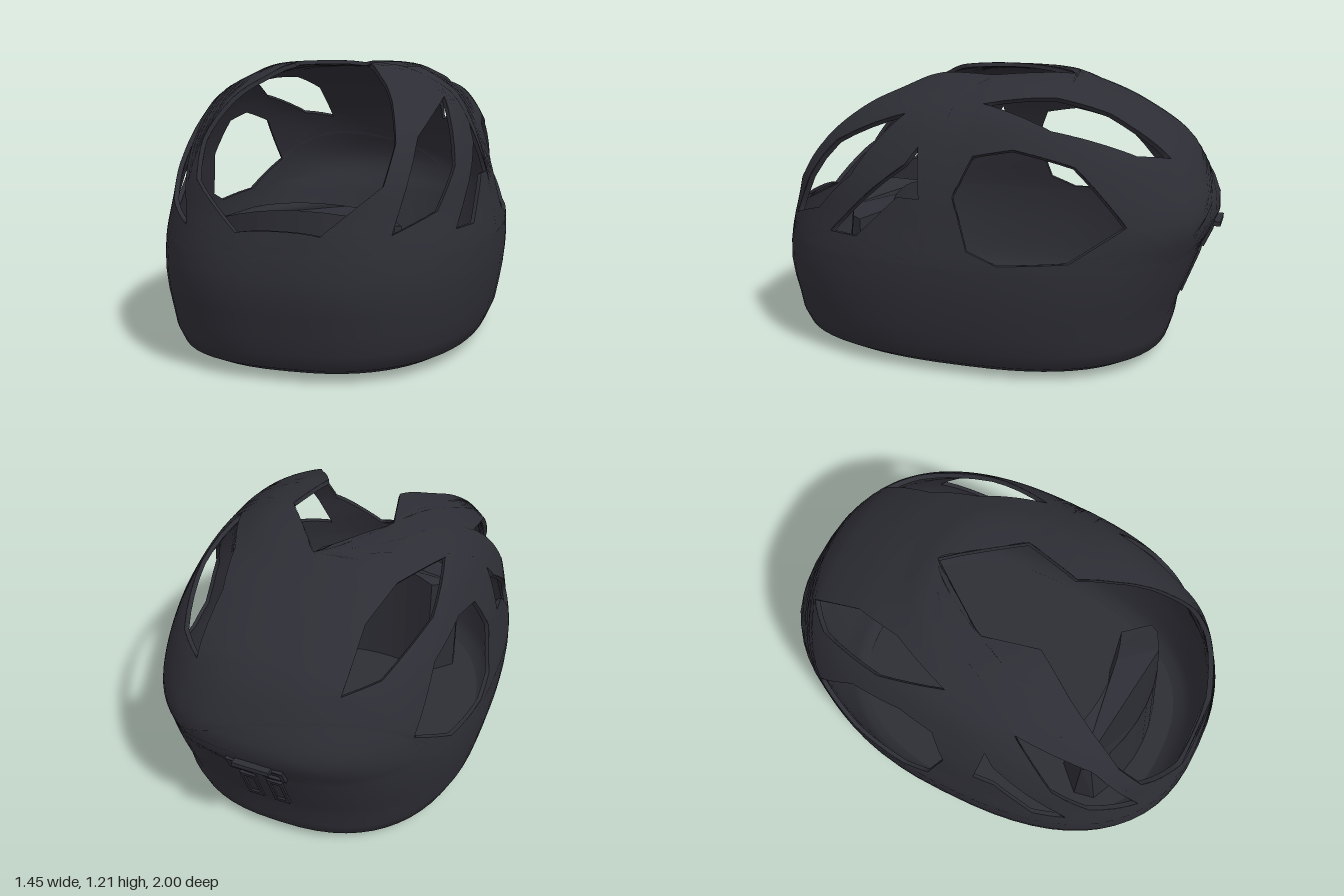
import * as THREE from 'three';
import { mergeVertices } from 'three/addons/utils/BufferGeometryUtils.js';

const N = 2.5; // squareness of the plan rings
// rings from roof to base: height, front reach, rear reach, half width
const RINGS = [
  [1.222, 0, 0, 0], [1.213, 0.27, 0.3, 0.28], [1.16, 0.43, 0.45, 0.42], [1.08, 0.62, 0.63, 0.535],
  [0.95, 0.81, 0.83, 0.61], [0.8, 0.91, 0.93, 0.665], [0.65, 0.95, 0.985, 0.695], [0.5, 0.985, 0.92, 0.722],
  [0.36, 1.0, 0.87, 0.722], [0.2, 0.97, 0.81, 0.7], [0.06, 0.93, 0.78, 0.655], [0.006, 0.76, 0.65, 0.53],
];
const WAIST = 7 / 11; // ring parameter just under the windows
const heights = new THREE.SplineCurve(RINGS.map((r, i) => new THREE.Vector2(i, r[0])));
const reaches = new THREE.CatmullRomCurve3(
  RINGS.map(r => new THREE.Vector3(r[1], r[2], r[3])), false, 'catmullrom', 0.5);

function ring(t) {
  const p = reaches.getPoint(t);
  return { y: heights.getPoint(t).y, front: p.x, back: p.y, width: p.z };
}

// The shell is drawn as a flat disc (roof at the middle, base at the edge) and wrapped on the rings
function wrap(p) {
  const t = Math.min(1, p.length()), a = Math.atan2(p.x, p.y), r = ring(t);
  const s = Math.sin(a), c = Math.cos(a), e = 2 / N;
  return new THREE.Vector3(
    Math.sign(s) * Math.abs(s) ** e * r.width, r.y,
    Math.sign(c) * Math.abs(c) ** e * (c > 0 ? r.front : r.back));
}
function inward(p, k = 0.975) {
  return new THREE.Vector3(p.x * k, 0.5 + (p.y - 0.5) * k, p.z * k);
}
function solve(isInner) {
  let lo = 0.001, hi = 1;
  for (let i = 0; i < 40; i++) {
    const m = (lo + hi) / 2;
    if (isInner(m)) lo = m; else hi = m;
  }
  return lo;
}
const disc = (t, s, c) => new THREE.Vector2(t * s, t * c);
const atHeight = y => solve(m => ring(m).y > y);
// size of a plan point relative to ring t: 1 lies on it
function spread(t, x, z) {
  const r = ring(t);
  return ((x / r.width) ** N + (Math.abs(z) / (z > 0 ? r.front : r.back)) ** N) ** (1 / N);
}
function heading(t, x, z) {
  const r = ring(t), a = (x / r.width) ** (N / 2);
  const b = (Math.abs(z) / (z > 0 ? r.front : r.back)) ** (N / 2), l = Math.hypot(a, b);
  return disc(t, a / l, Math.sign(z) * b / l);
}
// disc positions of shell points (x >= 0) known by two coordinates
function side(z, y) {
  const t = atHeight(y), r = ring(t);
  const k = Math.min(1, Math.abs(z) / (z > 0 ? r.front : r.back)) ** (N / 2);
  return disc(t, Math.sqrt(1 - k * k), Math.sign(z) * k);
}
function front(x, y) {
  const t = atHeight(y);
  const k = Math.min(1, x / ring(t).width) ** (N / 2);
  return disc(t, k, Math.sqrt(1 - k * k));
}
const top = (x, z) => heading(solve(m => spread(m, x, z) > 1), x, z);
// pushes a point out from the cabin centre onto the shell
const push = p => heading(solve(m => (ring(m).y - 0.5) * spread(m, p.x, p.z) > p.y - 0.5), p.x, p.z);
const mirror = pts => pts.map(p => new THREE.Vector2(-p.x, p.y)).reverse();

// adds points so that edges run straight in space
function straighten(pts, closed) {
  const out = [];
  pts.forEach((a, i) => {
    out.push(a);
    if (!closed && i === pts.length - 1) return;
    const A = wrap(a), B = wrap(pts[(i + 1) % pts.length]);
    for (const k of [0.25, 0.5, 0.75]) out.push(push(A.clone().lerp(B, k)));
  });
  return out;
}

function openings() {
  const half = straighten([top(0, -0.33), top(0.23, -0.02), top(0.17, 0.23), top(0.29, 0.43), front(0.345, 1.07),
    front(0.4, 0.92), front(0.38, 0.77), front(0.17, 0.59)], false);
  const windscreen = [...half, ...mirror(half.slice(1))];
  const sides = [
    [front(0.42, 0.59), side(0.62, 0.94), side(0.28, 1.08), side(0.5, 0.82), side(0.67, 0.66)],
    [side(0.59, 0.58), side(0.24, 0.89), side(0.19, 0.96), side(0.165, 0.76), side(0.26, 0.76), side(0.45, 0.58)],
    [side(0.02, 0.78), side(-0.05, 0.94), side(-0.21, 0.97), side(-0.46, 0.91), side(-0.67, 0.68),
      side(-0.58, 0.62), side(-0.46, 0.54), side(-0.18, 0.52), side(-0.05, 0.57)],
    [top(0.31, -0.8), side(-0.68, 0.94), side(-0.35, 1.04), side(-0.05, 1.13), top(0.36, -0.33), top(0.31, -0.55)],
  ].map(s => straighten(s, true));
  return [windscreen, ...sides, ...sides.map(mirror)];
}

function fromPoints(points) {
  const merged = mergeVertices(new THREE.BufferGeometry().setFromPoints(points), 1e-5);
  merged.computeVertexNormals();
  return merged;
}

// pierced disc, split finely, then wrapped onto the rings
function canopy(outline, holes, inner) {
  const shape = new THREE.Shape(outline);
  shape.holes = holes.map(h => new THREE.Path(h));
  const flat = new THREE.ShapeGeometry(shape);
  const pos = flat.attributes.position, idx = flat.index.array, out = [];
  const corner = i => new THREE.Vector2(pos.getX(i), pos.getY(i));
  const place = p => (inner ? inward(wrap(p)) : wrap(p));
  const mid = (a, b) => a.clone().add(b).multiplyScalar(0.5);
  const split = (a, b, c, depth) => {
    if (!depth) {
      out.push(...(inner ? [a, b, c] : [a, c, b]).map(place));
      return;
    }
    const ab = mid(a, b), bc = mid(b, c), ca = mid(c, a);
    for (const tri of [[a, ab, ca], [ab, b, bc], [ca, bc, c], [ab, bc, ca]]) split(...tri, depth - 1);
  };
  for (let i = 0; i < idx.length; i += 3) split(corner(idx[i]), corner(idx[i + 1]), corner(idx[i + 2]), 3);
  return fromPoints(out);
}

// rings of quads from the waist to the base
function tub(circle, inner) {
  const rows = 8, out = [];
  const at = (p, j) => {
    const q = wrap(p.clone().multiplyScalar(WAIST + (1 - WAIST) * j / rows));
    return inner ? inward(q) : q;
  };
  circle.forEach((p, i) => {
    const q = circle[(i + 1) % circle.length];
    for (let j = 0; j < rows; j++) {
      const a = at(p, j), b = at(q, j), c = at(q, j + 1), d = at(p, j + 1);
      out.push(...(inner ? [a, b, c, a, c, d] : [a, c, b, a, d, c]));
    }
  });
  return fromPoints(out);
}

// edge strip joining outer and inner skins round an outline
function edging(outline) {
  const out = [];
  outline.forEach((a, i) => {
    const P = wrap(a), Q = wrap(outline[(i + 1) % outline.length]), p2 = inward(P), q2 = inward(Q);
    out.push(P, Q, q2, P, q2, p2);
  });
  return fromPoints(out);
}

export function createModel() {
  const group = new THREE.Group();
  const charcoal = new THREE.MeshStandardMaterial({ color: 0x2d2d35, side: THREE.DoubleSide });
  charcoal.name = 'charcoal';
  const add = (name, geometry) => {
    const m = new THREE.Mesh(geometry, charcoal);
    m.name = name;
    group.add(m);
    return m;
  };

  // body shell: pierced canopy slightly overlapping a plain tub, each with a lining
  const circle = Array.from({ length: 64 }, (_, i) =>
    disc(1, Math.sin(i * Math.PI / 32), Math.cos(i * Math.PI / 32)));
  const waist = circle.map(p => p.clone().multiplyScalar(WAIST + 0.006));
  const holes = openings();
  for (const inner of [false, true]) {
    add(inner ? 'canopyLining' : 'canopy', canopy(waist, holes, inner));
    add(inner ? 'tubLining' : 'tub', tub(circle, inner));
  }
  holes.forEach(h => add('windowEdge', edging(h)));
  add('baseEdge', edging(circle));

  // cabin floor
  const floorHeight = 0.05, level = atHeight(floorHeight);
  const floorShape = new THREE.Shape(circle.map(p => {
    const q = wrap(p.clone().multiplyScalar(level));
    return new THREE.Vector2(q.x * 0.975, -q.z * 0.975);
  }));
  add('floor', new THREE.ShapeGeometry(floorShape).rotateX(-Math.PI / 2).translate(0, floorHeight, 0));

  // dashboard: curved plan, crowned top, front face sloping out towards the floor
  const plan = new THREE.Shape();
  plan.moveTo(-0.28, -0.45);
  plan.quadraticCurveTo(0, -0.55, 0.28, -0.45);
  plan.lineTo(0.39, -0.56);
  plan.lineTo(0.37, -0.6);
  plan.quadraticCurveTo(0, -0.8, -0.37, -0.6);
  plan.lineTo(-0.39, -0.56);
  const dash = new THREE.ExtrudeGeometry(plan, { depth: 0.59, bevelEnabled: false, curveSegments: 8 })
    .rotateX(-Math.PI / 2).translate(0, floorHeight, 0);
  const dp = dash.attributes.position;
  for (let i = 0; i < dp.count; i++) {
    const x = dp.getX(i), z = dp.getZ(i);
    if (dp.getY(i) > 0.3) dp.setY(i, dp.getY(i) - 0.45 * x * x);
    else if (z > 0.57) dp.setZ(i, z + 0.06);
  }
  dash.computeVertexNormals();
  add('dashboard', dash);

  // rear vents: two small frames above two tall ones, under a lip
  const frame = (w, h) => {
    const s = new THREE.Shape([[-w, -h], [w, -h], [w, h], [-w, h]].map(p => new THREE.Vector2(...p)));
    s.holes.push(new THREE.Path([[-w, -h], [-w, h], [w, h], [w, -h]]
      .map(p => new THREE.Vector2(p[0] * 0.6, p[1] * 0.75))));
    return new THREE.ExtrudeGeometry(s, { depth: 0.03, bevelEnabled: false });
  };
  for (const s of [-1, 1]) {
    const upper = add('upperVent', frame(0.05, 0.045));
    upper.position.set(s * 0.075, 0.54, -0.95);
    upper.rotation.x = -0.42;
    const lower = add('lowerVent', frame(0.035, 0.1));
    lower.position.set(s * 0.06, 0.37, -0.88);
    lower.rotation.x = -0.36;
  }
  add('ventLip', new THREE.BoxGeometry(0.16, 0.02, 0.05)).position.set(0, 0.59, -0.97);
  return group;
}
